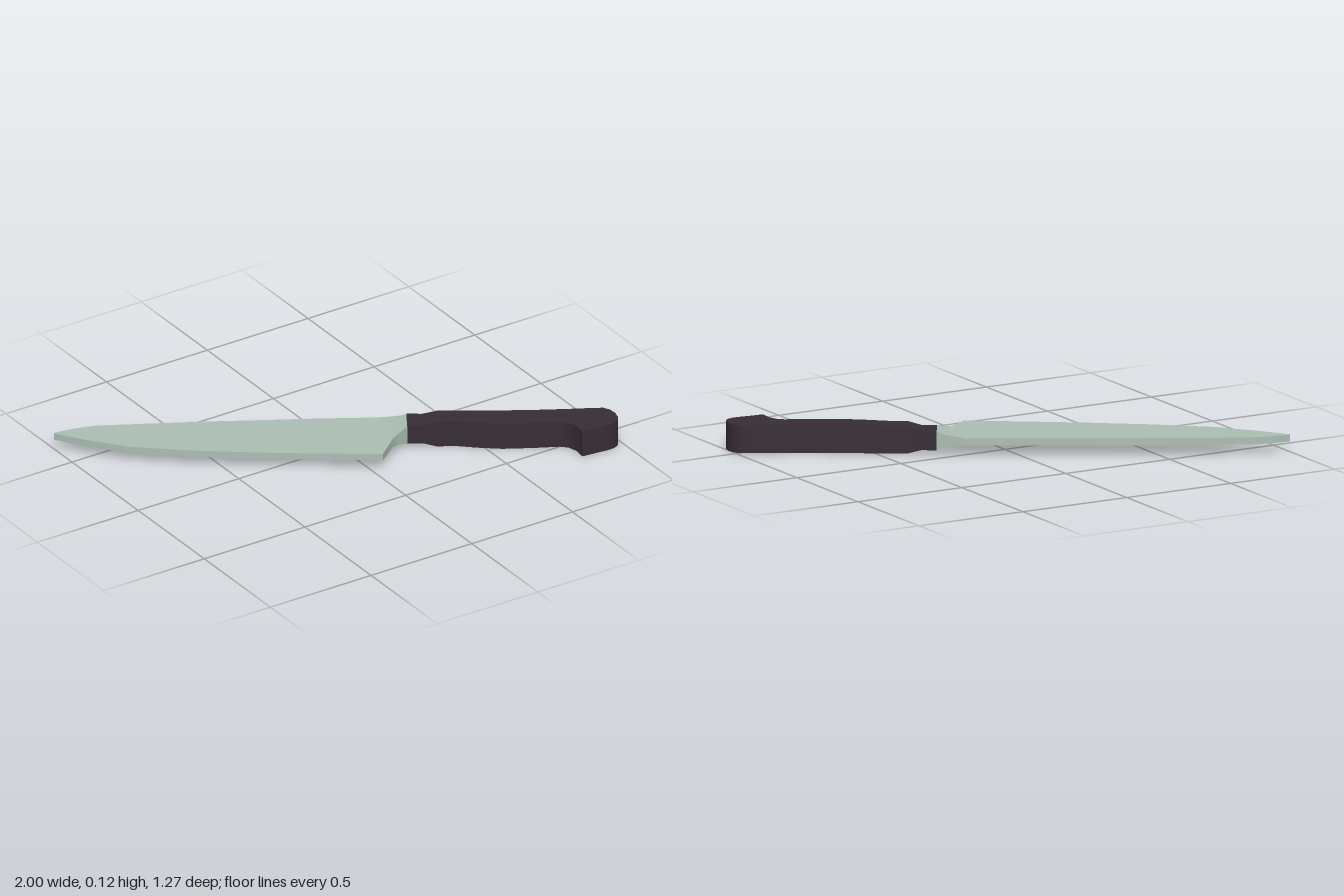
import * as THREE from 'three';
import { toCreasedNormals } from 'three/addons/utils/BufferGeometryUtils.js';

const MID = 0.059; // height of the knife's centre plane

// Loft of rectangular sections; station = [spineX, spineZ, edgeX, edgeZ, halfThickness]
function loft(stations, crease) {
  const rings = stations.map(([sx, sz, ex, ez, h]) => [
    [sx, MID + h, sz], [ex, MID + h, ez], [ex, MID - h, ez], [sx, MID - h, sz],
  ]);
  const pos = [];
  const quad = (a, b, c, d) => [a, b, c, a, c, d].forEach((p) => pos.push(...p));
  for (let i = 0; i < rings.length - 1; i++) {
    const p = rings[i], q = rings[i + 1];
    for (let k = 0; k < 4; k++) {
      const n = (k + 1) % 4;
      quad(p[k], p[n], q[n], q[k]);
    }
  }
  const first = rings[0], last = rings[rings.length - 1];
  quad(first[3], first[2], first[1], first[0]);
  quad(...last);
  const geometry = new THREE.BufferGeometry();
  geometry.setAttribute('position', new THREE.Float32BufferAttribute(pos, 3));
  return toCreasedNormals(geometry, crease);
}

export function createModel() {
  const group = new THREE.Group();
  const steel = new THREE.MeshStandardMaterial({ color: 0xadc0b5 });
  steel.name = 'pale steel';
  const grip = new THREE.MeshStandardMaterial({ color: 0x382e36 });
  grip.name = 'dark grip';

  const add = (name, stations, material, crease = 0.5) => {
    const mesh = new THREE.Mesh(loft(stations, crease), material);
    mesh.name = name;
    group.add(mesh);
  };

  // Blade: flat slab from tip to heel
  add('blade', [
    [-1, -0.638, -1, -0.635, 0.015],
    [-0.96, -0.634, -0.965, -0.58, 0.015],
    [-0.9, -0.622, -0.92, -0.515, 0.015],
    [-0.82, -0.597, -0.8, -0.365, 0.015],
    [-0.6, -0.476, -0.6, -0.195, 0.015],
    [-0.43, -0.382, -0.385, -0.032, 0.015],
    [-0.26, -0.283, -0.2, 0.098, 0.015],
    [-0.03, -0.15, -0.08, 0.18, 0.015],
    [0.2, -0.012, 0.043, 0.263, 0.015],
  ], steel);

  // Bolster: swells from the blade to the neck of the handle
  add('bolster', [
    [0.2, -0.012, 0.043, 0.263, 0.015],
    [0.23, 0.012, 0.145, 0.182, 0.02],
    [0.263, 0.04, 0.185, 0.168, 0.027],
    [0.29, 0.066, 0.235, 0.157, 0.04],
  ], steel);

  // Handle: narrow neck, curved grip and hooked butt
  add('handle', [
    [0.29, 0.064, 0.233, 0.156, 0.042],
    [0.34, 0.102, 0.29, 0.19, 0.042],
    [0.39, 0.14, 0.34, 0.218, 0.059],
    [0.487, 0.203, 0.406, 0.257, 0.059],
    [0.6, 0.275, 0.48, 0.324, 0.059],
    [0.727, 0.353, 0.556, 0.385, 0.059],
    [0.8, 0.395, 0.674, 0.453, 0.059],
    [0.88, 0.44, 0.765, 0.5, 0.059],
    [0.93, 0.467, 0.792, 0.528, 0.059],
    [0.982, 0.497, 0.803, 0.57, 0.059],
    [0.997, 0.525, 0.798, 0.622, 0.059],
    [1, 0.56, 0.86, 0.628, 0.059],
    [0.99, 0.6, 0.915, 0.635, 0.059],
    [0.97, 0.625, 0.945, 0.634, 0.059],
  ], grip, 0.6);

  return group;
}
